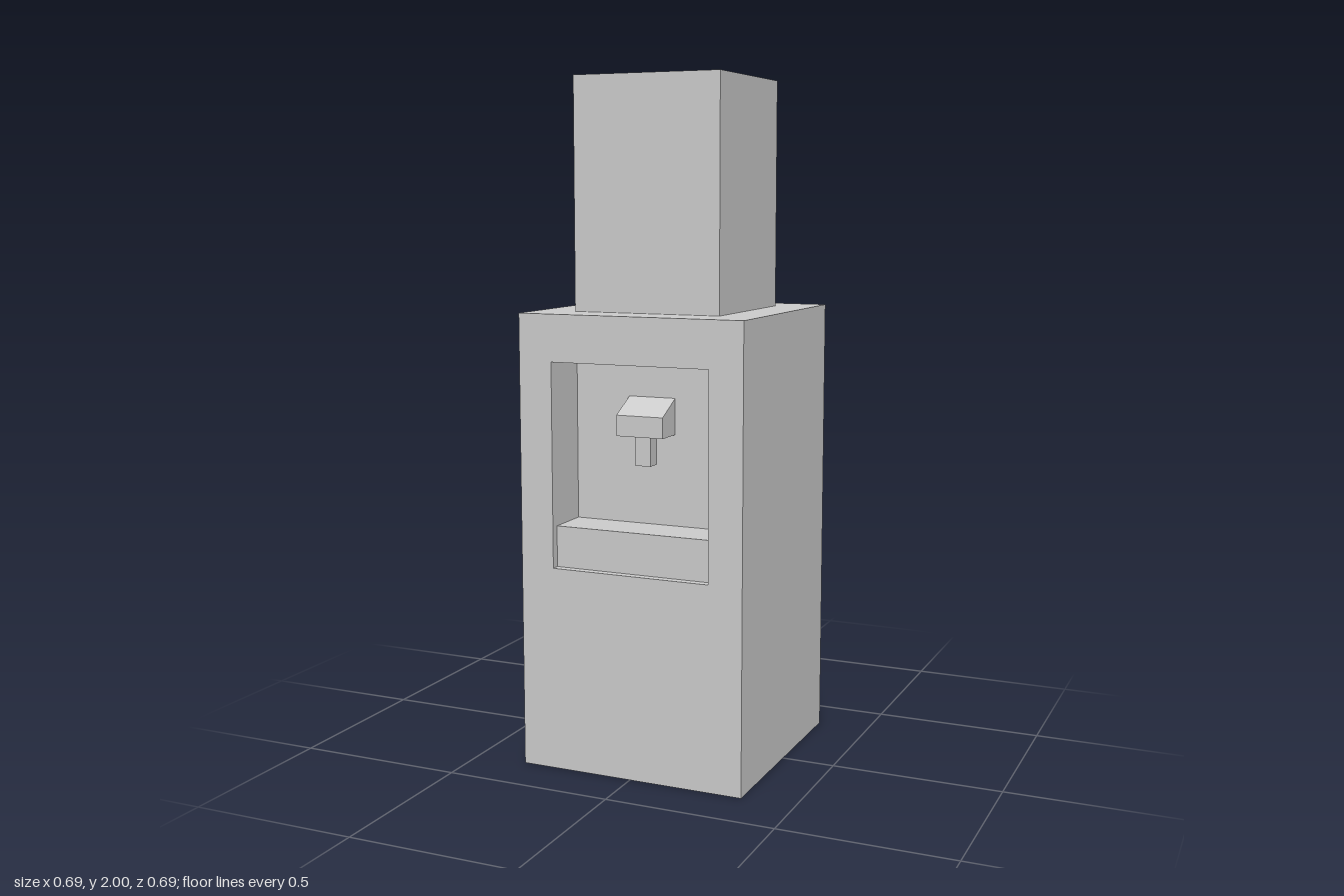
import * as THREE from 'three';
import { mergeGeometries } from 'three/addons/utils/BufferGeometryUtils.js';

const BODY = { w: 0.686, h: 1.333 };
const NICHE = { w: 0.482, bottom: 0.6, top: 1.197, depth: 0.16 };
const FRONT = BODY.w / 2;
const BACK_WALL = FRONT - NICHE.depth;

const material = new THREE.MeshStandardMaterial({ color: 0xcccccc, flatShading: true });

function addMesh(parent, name, geometry) {
  const mesh = new THREE.Mesh(geometry, material);
  mesh.name = name;
  parent.add(mesh);
}

// Box given by its width, y range and z range, centred on x
function block(w, y0, y1, z0, z1) {
  return new THREE.BoxGeometry(w, y1 - y0, z1 - z0).translate(0, (y0 + y1) / 2, (z0 + z1) / 2);
}

// Box without its front face; inward turns the faces to the inside
function openBlock(inward, ...size) {
  const geometry = block(...size);
  const index = Array.from(geometry.index.array);
  index.splice(24, 6);
  geometry.setIndex(inward ? index.reverse() : index);
  const faces = geometry.toNonIndexed();
  faces.computeVertexNormals();
  return faces;
}

function rectangle(target, w, y0, y1) {
  target.moveTo(-w / 2, y0);
  target.lineTo(w / 2, y0);
  target.lineTo(w / 2, y1);
  target.lineTo(-w / 2, y1);
  target.closePath();
  return target;
}

export function createModel() {
  const model = new THREE.Group();
  model.name = 'waterDispenser';

  // Cabinet shell, front panel with opening, and niche walls
  const panel = rectangle(new THREE.Shape(), BODY.w, 0, BODY.h);
  panel.holes.push(rectangle(new THREE.Path(), NICHE.w, NICHE.bottom, NICHE.top));
  addMesh(model, 'cabinet', mergeGeometries([
    openBlock(false, BODY.w, 0, BODY.h, -FRONT, FRONT),
    new THREE.ShapeGeometry(panel).translate(0, 0, FRONT).toNonIndexed(),
    openBlock(true, NICHE.w, NICHE.bottom, NICHE.top, BACK_WALL, FRONT),
  ]));

  // Water tank on top
  addMesh(model, 'tank', block(0.448, BODY.h, 2, -0.224, 0.224));

  // Drip tray, set slightly back from the front
  addMesh(model, 'dripTray', block(NICHE.w, NICHE.bottom, 0.72, BACK_WALL, FRONT - 0.025));

  // Tap with a sloping top: side profile drawn in z and y, extruded along x
  const tap = new THREE.Group();
  tap.name = 'tap';
  const profile = new THREE.Shape([
    [BACK_WALL, 0.986], [0.27, 0.986], [0.27, 1.046], [BACK_WALL, 1.091],
  ].map(([z, y]) => new THREE.Vector2(-z, y)));
  const head = new THREE.ExtrudeGeometry(profile, { depth: 0.144, bevelEnabled: false });
  addMesh(tap, 'tapHead', head.translate(0, 0, -0.072).rotateY(Math.PI / 2));
  addMesh(tap, 'nozzle', block(0.048, 0.9, 0.986, 0.203, 0.248));
  model.add(tap);

  return model;
}
